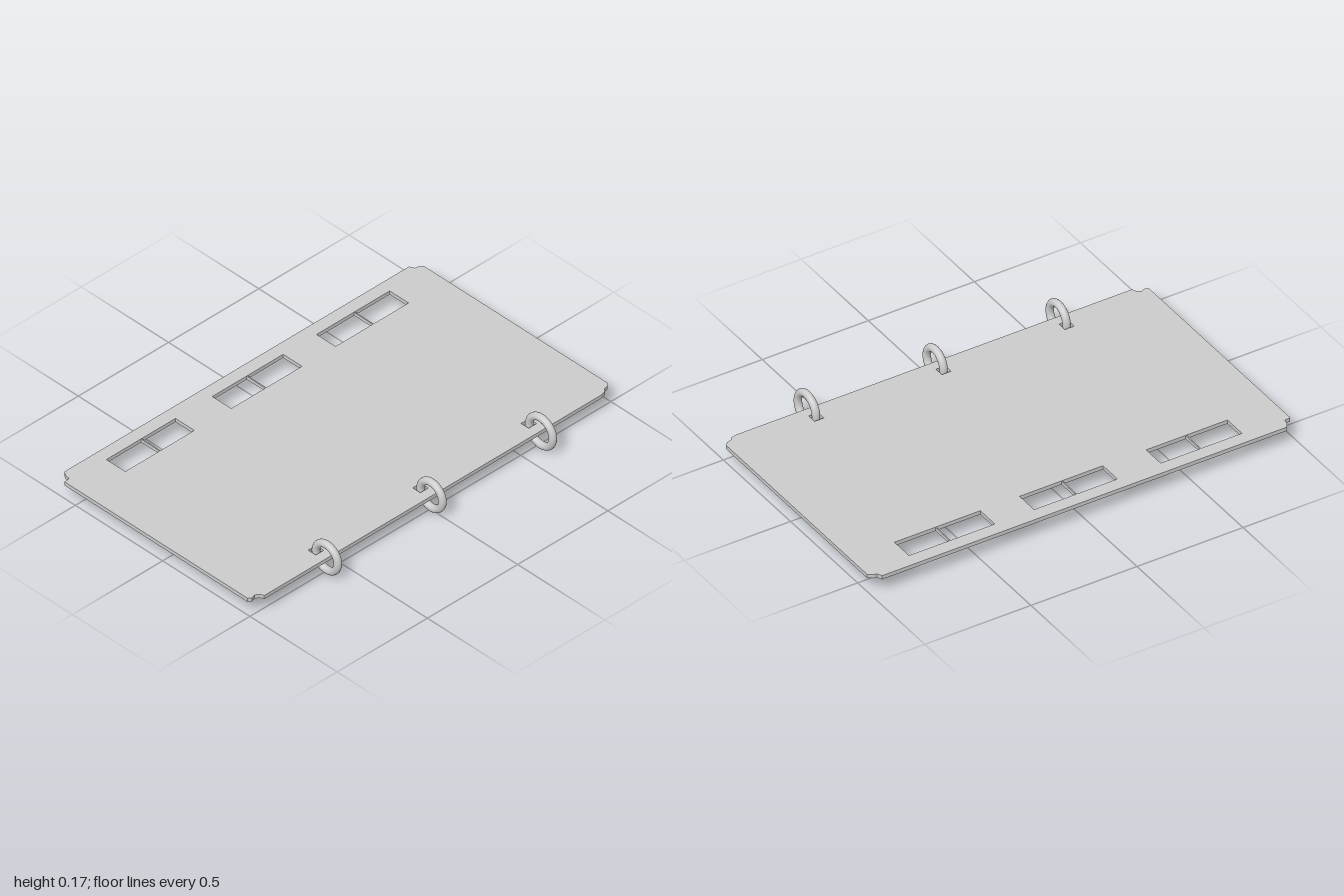
import * as THREE from 'three';

const TOP = 0.086, THICK = 0.018;

function rectHole(x0, x1, z0, z1) {
  return new THREE.Path([[x0, z0], [x0, z1], [x1, z1], [x1, z0]].map(p => new THREE.Vector2(...p)));
}

export function createModel() {
  const group = new THREE.Group();
  const grey = new THREE.MeshStandardMaterial({ color: 0xcccccc });
  const add = (name, geometry, x = 0, y = 0, z = 0) => {
    const mesh = new THREE.Mesh(geometry, grey);
    mesh.name = name;
    mesh.position.set(x, y, z);
    group.add(mesh);
  };

  // window spans along the left edge, with the position of each dividing bar
  const windows = [[-0.79, -0.385, -0.595], [-0.2, 0.193, 0], [0.397, 0.78, 0.585]];
  // rings: x, z, main radius
  const rings = [[0.522, -0.592, 0.0675], [0.515, 0.008, 0.0625], [0.515, 0.588, 0.0625]];

  // flat panel with worn, clipped corners; outline drawn in x and z
  const outline = [
    [-0.57, -1], [0.482, -1], [0.495, -0.985], [0.5, -0.965], [0.513, -0.955], [0.52, -0.93],
    [0.52, 0.94], [0.505, 0.945], [0.49, 0.965], [0.497, 0.985], [0.487, 1],
    [-0.562, 1], [-0.565, 0.972], [-0.59, 0.968], [-0.61, 0.955],
    [-0.61, -0.955], [-0.588, -0.965], [-0.585, -0.98],
  ];
  const shape = new THREE.Shape(outline.map(p => new THREE.Vector2(...p)));
  for (const [z0, z1] of windows) shape.holes.push(rectHole(-0.55, -0.442, z0, z1));
  for (const [, z] of rings) shape.holes.push(rectHole(0.43, 0.474, z - 0.022, z + 0.022));
  const panel = new THREE.ExtrudeGeometry(shape, { depth: THICK, bevelEnabled: false });
  panel.rotateX(Math.PI / 2);
  add('panel', panel, 0, TOP, 0);

  // thin bars dividing the windows
  for (const [, , z] of windows) {
    add('windowBar', new THREE.BoxGeometry(0.11, THICK * 0.9, 0.005), -0.496, TOP - THICK / 2, z);
  }

  // binding rings threaded through the small holes
  for (const [x, z, radius] of rings) {
    add('ring', new THREE.TorusGeometry(radius, 0.017, 16, 48), x, 0.0865, z);
  }
  return group;
}
